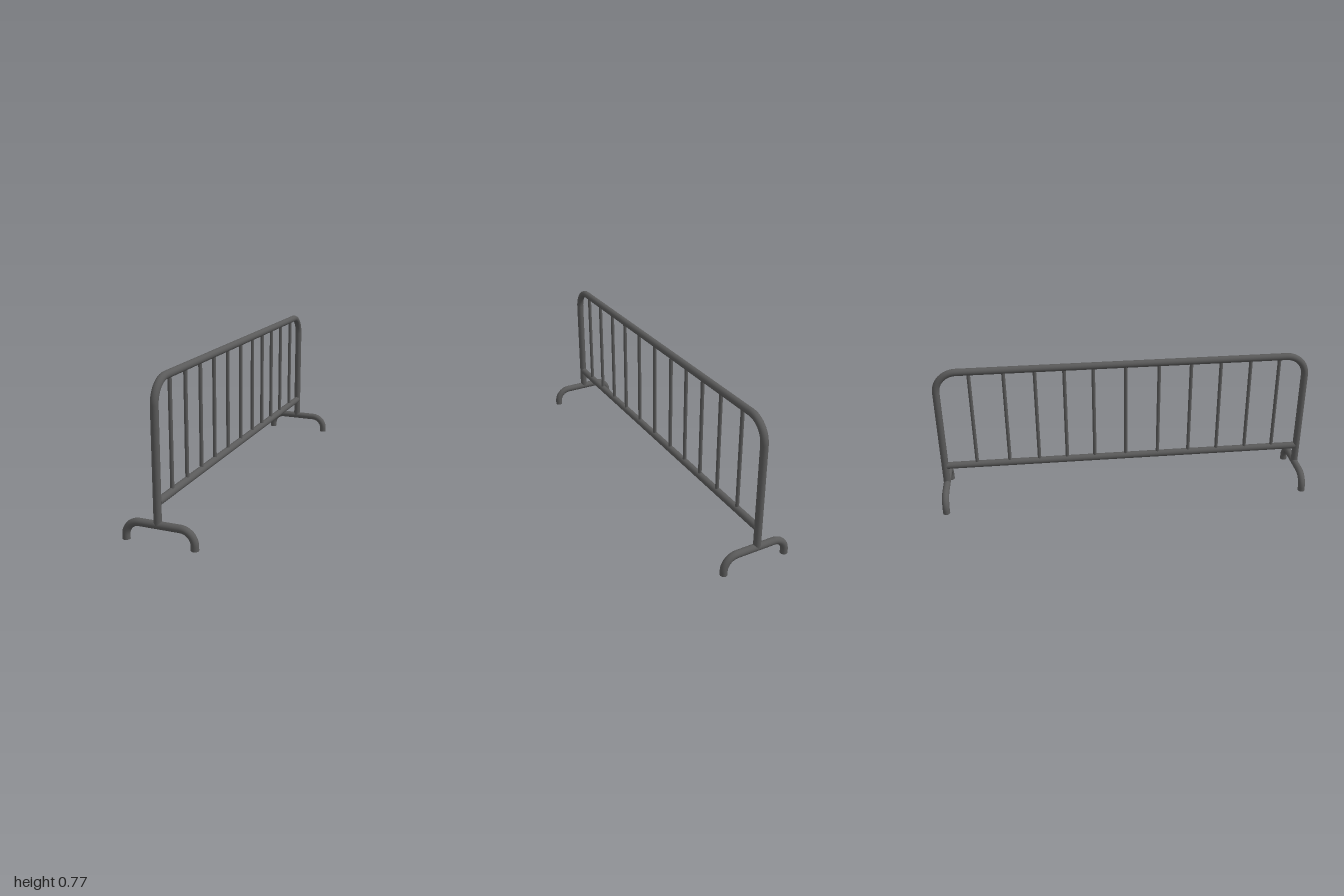
import * as THREE from 'three';

const R = 0.0188;        // main tube radius
const FRAME_X = -0.009;  // plane of the panel
const END_Z = 0.9812;    // centre line of the end posts

export function createModel() {
  const group = new THREE.Group();
  const steel = new THREE.MeshStandardMaterial({ color: 0x5a5a5a });
  steel.name = 'darkGreySteel';

  function add(name, geometry, parent) {
    const mesh = new THREE.Mesh(geometry, steel);
    mesh.name = name;
    parent.add(mesh);
    return mesh;
  }

  // Straight capped tube between two points
  function pipe(name, a, b, radius, parent) {
    const from = new THREE.Vector3(...a), to = new THREE.Vector3(...b);
    const dir = to.clone().sub(from);
    const mesh = add(name, new THREE.CylinderGeometry(radius, radius, dir.length(), 16), parent);
    mesh.position.copy(from).add(to).multiplyScalar(0.5);
    mesh.quaternion.setFromUnitVectors(new THREE.Vector3(0, 1, 0), dir.normalize());
  }

  // Quarter bend in the local xy plane, from +x round to +y
  function bend(name, radius, parent) {
    return add(name, new THREE.TorusGeometry(radius, R, 16, 12, Math.PI / 2), parent);
  }

  // Panel frame: top rail, end posts and rounded corners
  const frame = new THREE.Group();
  frame.name = 'frame';
  frame.position.x = FRAME_X;
  group.add(frame);
  const topY = 0.7522, corner = 0.11;
  const inner = END_Z - corner;
  pipe('topRail', [0, topY, -inner], [0, topY, inner], R, frame);
  pipe('lowerRail', [0, 0.199, -0.972], [0, 0.199, 0.972], R, frame);
  for (const s of [1, -1]) {
    pipe('endPost', [0, 0.095, s * END_Z], [0, topY - corner, s * END_Z], R, frame);
    const c = bend('topCorner', corner, frame);
    c.position.set(0, topY - corner, s * inner);
    c.rotation.y = -s * Math.PI / 2;
  }

  // Upright bars, slightly unevenly spaced
  const barZ = [0.834, 0.678, 0.517, 0.357, 0.185, 0.008, -0.164, -0.316, -0.469, -0.63, -0.807];
  for (const z of barZ) pipe('bar', [0, 0.199, z], [0, topY, z], 0.0095, frame);

  // Arched feet under each end post
  const footY = 0.0915, footX = 0.172, footBend = 0.07;
  for (const s of [1, -1]) {
    const foot = new THREE.Group();
    foot.name = s > 0 ? 'frontFoot' : 'backFoot';
    foot.position.z = s * END_Z;
    group.add(foot);
    const flat = footX - footBend;
    pipe('footBar', [-flat, footY, 0], [flat, footY, 0], R, foot);
    for (const side of [1, -1]) {
      const b = bend('footBend', footBend, foot);
      b.position.set(side * flat, footY - footBend, 0);
      b.rotation.y = side > 0 ? 0 : Math.PI;
      pipe('footTip', [side * footX, 0, 0], [side * footX, footY - footBend, 0], R, foot);
    }
  }
  return group;
}
